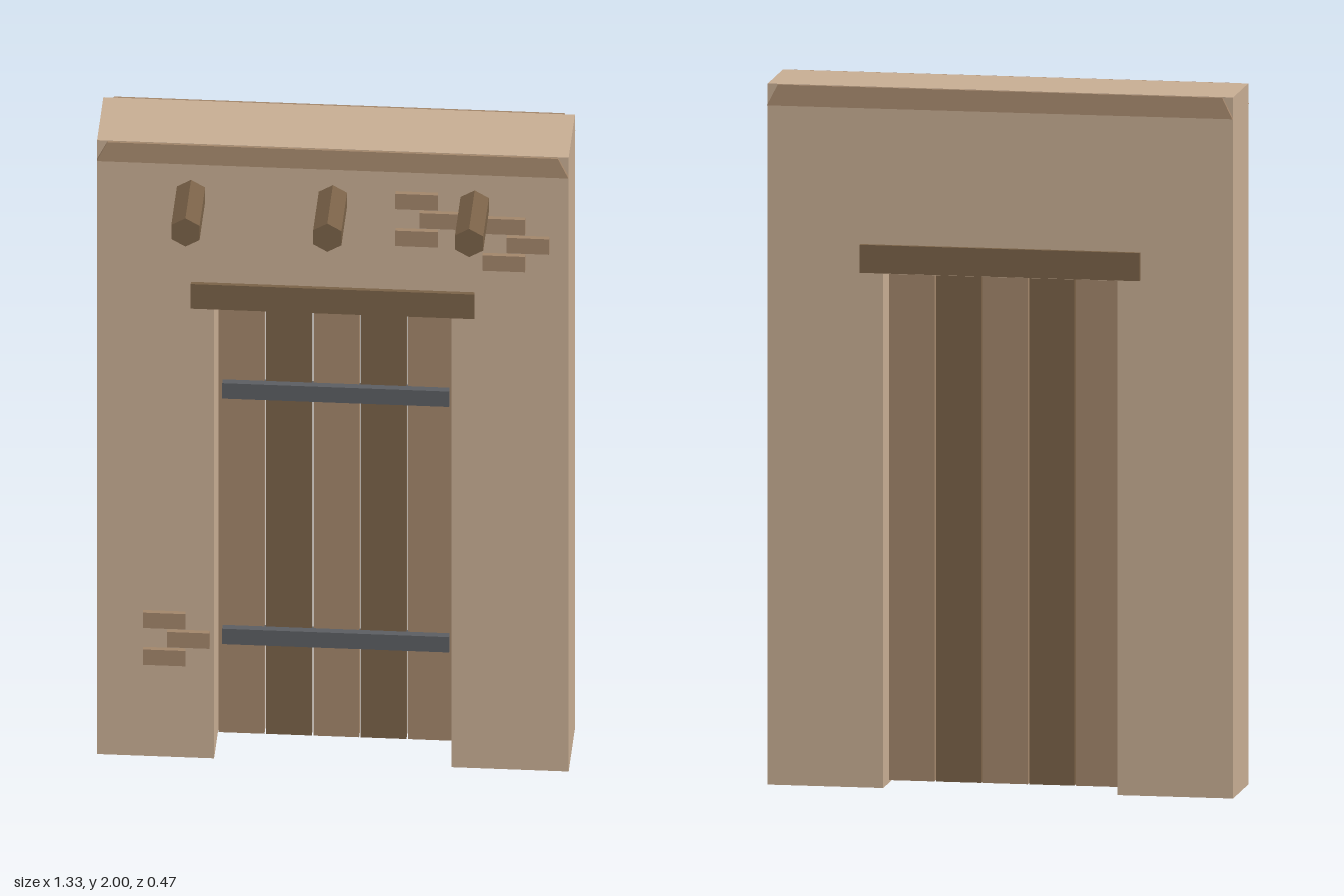
import * as THREE from 'three';

const mat = (name, color) => {
  const m = new THREE.MeshStandardMaterial({ color });
  m.name = name;
  return m;
};

export function createModel() {
  const root = new THREE.Group();
  root.name = 'doorWall';

  const plaster = mat('plaster', 0xc6ac92);
  const lightWood = mat('lightBrown', 0xa1856a);
  const darkWood = mat('darkWood', 0x796147);
  const iron = mat('iron', 0x5b5d61);

  const add = (name, geo, material, x, y, z) => {
    const mesh = new THREE.Mesh(geo, material);
    mesh.name = name;
    mesh.position.set(x, y, z);
    root.add(mesh);
    return mesh;
  };
  const box = (name, material, w, h, d, x, y, z) =>
    add(name, new THREE.BoxGeometry(w, h, d), material, x, y, z);

  const W = 0.665, DOOR_W = 0.335, DOOR_H = 1.467;
  const MID_Z = -0.1, DEPTH = 0.24, FRONT = MID_Z + DEPTH / 2;

  // Wall with a doorway notch
  const outline = new THREE.Shape([
    [-W, 0], [-DOOR_W, 0], [-DOOR_W, DOOR_H], [DOOR_W, DOOR_H],
    [DOOR_W, 0], [W, 0], [W, 2], [-W, 2],
  ].map(([x, y]) => new THREE.Vector2(x, y)));
  add('wall', new THREE.ExtrudeGeometry(outline, { depth: DEPTH, bevelEnabled: false }),
    plaster, 0, 0, MID_Z - DEPTH / 2);

  // Tapered coping: a box narrowed at the top, set just under the wall top
  const coping = new THREE.BoxGeometry(2 * W, 0.059, 0.268);
  const p = coping.attributes.position;
  for (let i = 0; i < p.count; i++) {
    if (p.getY(i) > 0) p.setXYZ(i, p.getX(i) * 0.955, p.getY(i), p.getZ(i) * 0.955);
  }
  coping.computeVertexNormals();
  add('coping', coping, lightWood, 0, 1.9695, MID_Z);

  // Lintel running through the wall
  box('lintel', darkWood, 0.8, 0.08, 0.266, 0, 1.51, MID_Z);

  // Door planks in alternating wood
  for (let i = -2; i <= 2; i++) {
    box('doorPlank', i % 2 ? darkWood : lightWood, 0.129, 1.45, 0.034, i * 0.1335, 0.735, -0.127);
  }

  // Iron straps across the door
  for (const y of [0.335, 1.135]) box('doorStrap', iron, 0.64, 0.05, 0.03, 0, y, -0.103);

  // Hexagonal roof beams sticking out of the front
  for (const x of [-0.4, 0, 0.4]) {
    const geo = new THREE.CylinderGeometry(0.046, 0.046, 0.235, 6).toNonIndexed();
    geo.rotateX(Math.PI / 2);
    geo.computeVertexNormals();
    add('roofBeam', geo, darkWood, x, 1.836, 0.1175);
  }

  // Clusters of three exposed bricks
  for (const [x, y] of [[0.237, 1.785], [0.483, 1.715], [-0.475, 0.39]]) {
    for (let i = -1; i <= 1; i++) {
      box('brick', lightWood, 0.12, 0.05, 0.03, x + (i ? 0 : 0.068), y + i * 0.06, FRONT);
    }
  }

  return root;
}
